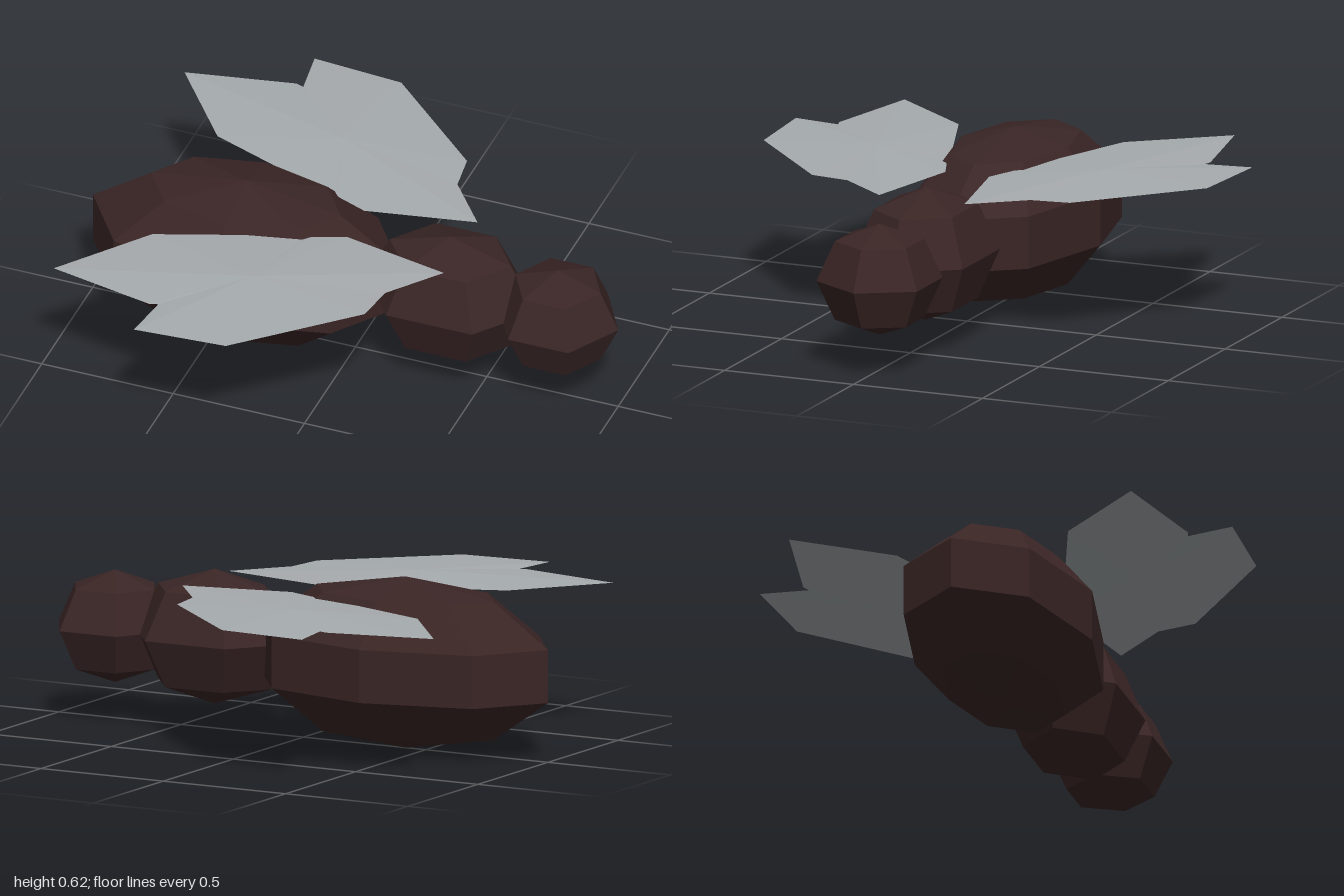
import * as THREE from 'three';

const shell = new THREE.MeshStandardMaterial({ color: 0x3a2525, flatShading: true });
shell.name = 'dark brown shell';
const membrane = new THREE.MeshStandardMaterial({ color: 0xa6abae, flatShading: true, side: THREE.DoubleSide });
membrane.name = 'grey wing membrane';

// Faceted ellipsoid body segment
function bodySegment(name, centre, radii, sides, rings) {
  const geometry = new THREE.SphereGeometry(1, sides, rings);
  geometry.scale(...radii);
  const mesh = new THREE.Mesh(geometry, shell);
  mesh.name = name;
  mesh.position.set(...centre);
  return mesh;
}

// Wing outline as [x, z], with a notch between the fore and hind lobes
const wingOutline = [
  [-0.9, 0.64], [-0.65, 0.32], [-0.34, 0.205], [-0.14, 0.155], [-0.115, 0.13],
  [0, 0.085], [0.4, 0.165], [0.25, 0.355], [0.23, 0.5], [-0.16, 0.86],
  [-0.5, 0.885], [-0.475, 0.71], [-0.505, 0.72],
];

// Thin lens: the outline is fanned to a raised point above and a lowered one below
function wing(name, side) {
  const n = wingOutline.length;
  const positions = wingOutline.flatMap(([x, z]) => [x, 0.537, z * side]);
  positions.push(-0.22, 0.553, 0.45 * side, -0.22, 0.522, 0.45 * side);
  const index = [];
  for (let i = 0; i < n; i++) {
    const j = (i + 1) % n;
    const [a, b] = side > 0 ? [j, i] : [i, j];
    index.push(n, a, b, n + 1, b, a);
  }
  const geometry = new THREE.BufferGeometry();
  geometry.setAttribute('position', new THREE.Float32BufferAttribute(positions, 3));
  geometry.setIndex(index);
  const flat = geometry.toNonIndexed();
  flat.computeVertexNormals();
  const mesh = new THREE.Mesh(flat, membrane);
  mesh.name = name;
  return mesh;
}

export function createModel() {
  const insect = new THREE.Group();
  insect.name = 'insect';
  insect.add(
    bodySegment('abdomen', [-0.417, 0.309, 0], [0.613, 0.309, 0.349], 8, 5),
    bodySegment('thorax', [0.362, 0.332, 0], [0.327, 0.243, 0.247], 6, 4),
    bodySegment('head', [0.771, 0.332, 0], [0.229, 0.203, 0.225], 6, 4),
    wing('frontWing', 1),
    wing('backWing', -1),
  );
  return insect;
}
